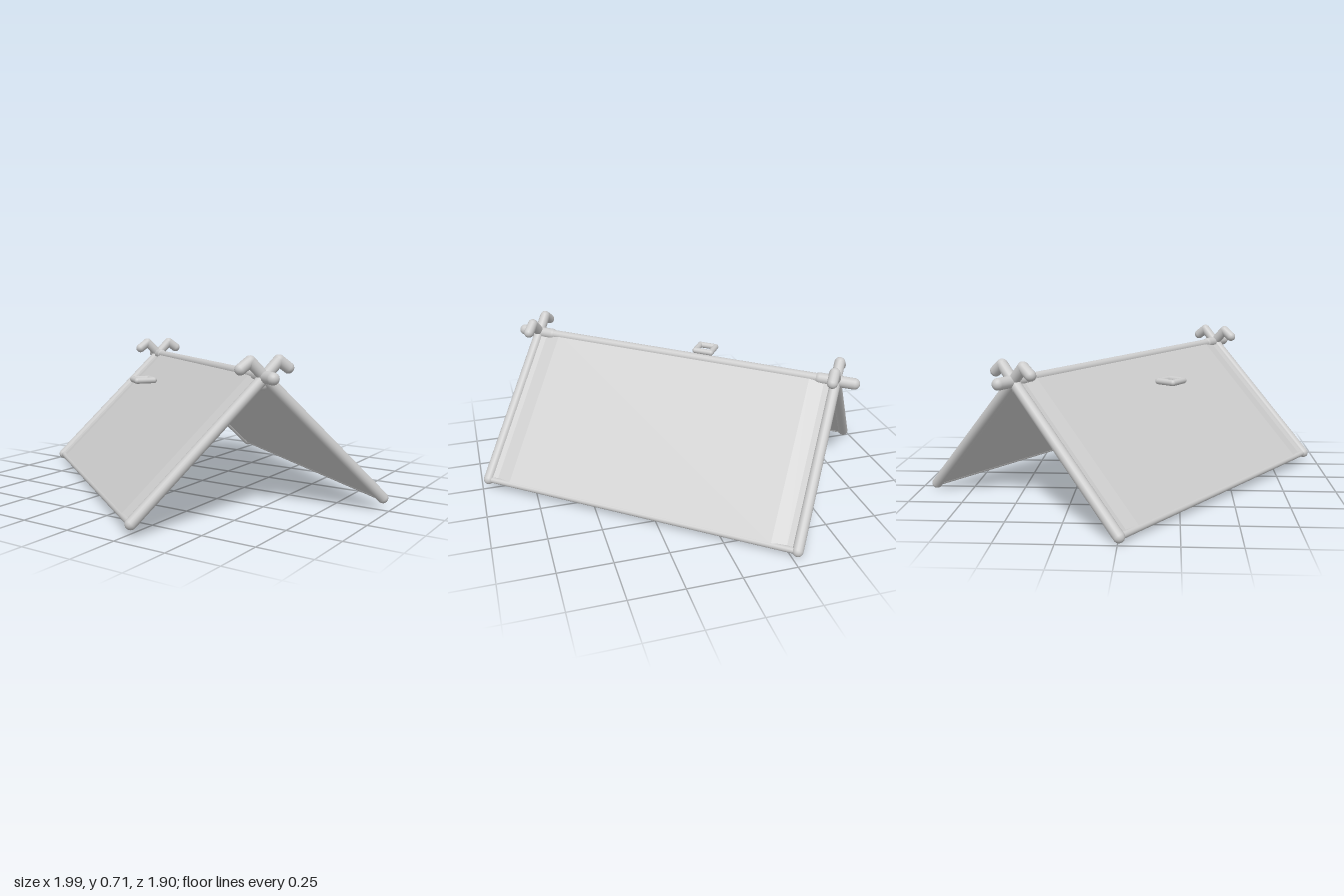
import * as THREE from 'three';

const material = new THREE.MeshStandardMaterial({ color: 0xcccccc, side: THREE.DoubleSide });

const HALF_LENGTH = 0.775, HALF_WIDTH = 0.58, RIDGE_Y = 0.608, FOOT_Y = 0.043;

// Round-ended rod following straight segments through the given points
function rod(name, points, radius) {
  const group = new THREE.Group();
  group.name = name;
  const pts = points.map(p => new THREE.Vector3(...p));
  for (let i = 0; i < pts.length - 1; i++) {
    const dir = pts[i + 1].clone().sub(pts[i]);
    const mesh = new THREE.Mesh(new THREE.CapsuleGeometry(radius, dir.length(), 6, 16), material);
    mesh.name = name + 'Segment';
    mesh.position.copy(pts[i]).addScaledVector(dir, 0.5);
    mesh.quaternion.setFromUnitVectors(new THREE.Vector3(0, 1, 0), dir.normalize());
    group.add(mesh);
  }
  return group;
}

// Sloping cloth panel: a thin section, sunk a little beside the poles, swept down the slope
function panel() {
  const e = HALF_LENGTH, s = new THREE.Shape();
  s.moveTo(-e, -0.012);
  [[e, -0.012], [e, 0.012], [e - 0.05, 0.006], [e - 0.12, 0.014],
    [-e + 0.12, 0.014], [-e + 0.05, 0.006], [-e, 0.012]].forEach(p => s.lineTo(...p));
  s.closePath();
  const drop = RIDGE_Y - FOOT_Y;
  const geo = new THREE.ExtrudeGeometry(s, { depth: Math.hypot(drop, HALF_WIDTH), bevelEnabled: false });
  geo.rotateX(Math.atan2(drop, HALF_WIDTH));
  geo.translate(0, RIDGE_Y, 0);
  const mesh = new THREE.Mesh(geo, material);
  mesh.name = 'clothPanel';
  return mesh;
}

export function createModel() {
  const model = new THREE.Group();
  model.name = 'tent';
  const tent = new THREE.Group();
  tent.name = 'tentFrame';
  // The tent stands diagonally, with its ridge rising slightly to one end
  tent.rotation.set(0, -0.637, 0.02);
  model.add(tent);

  // Two matching sides, each with a panel, a hem and two hooked poles
  for (const side of [1, -1]) {
    const half = new THREE.Group();
    half.name = side > 0 ? 'frontSide' : 'backSide';
    if (side < 0) half.rotation.y = Math.PI;
    half.add(panel());
    half.add(rod('bottomHem', [[-HALF_LENGTH, FOOT_Y, HALF_WIDTH], [HALF_LENGTH, FOOT_Y, HALF_WIDTH]], 0.015));
    for (const end of [1, -1]) {
      const x = end * HALF_LENGTH;
      half.add(rod('hookedPole', [[x, FOOT_Y, HALF_WIDTH], [x, RIDGE_Y, 0],
        [x, 0.675, -0.065], [x, 0.643, -0.108]], 0.025));
    }
    tent.add(half);
  }

  // Ridge bar with thicker ends reaching past the poles
  tent.add(rod('ridgeBar', [[-HALF_LENGTH, RIDGE_Y, 0], [HALF_LENGTH, RIDGE_Y, 0]], 0.022));
  for (const end of [1, -1]) {
    tent.add(rod('ridgeEnd', [[end * 0.7, RIDGE_Y, 0], [end * 0.86, RIDGE_Y, 0]], 0.027));
    tent.add(rod('crossingKnot', [[end * 0.765, RIDGE_Y, 0], [end * 0.755, 0.575, 0]], 0.026));
  }

  // Small square ring hovering above the front slope
  const cx = -0.043, cz = 0.294, h = 0.042, y = 0.532;
  tent.add(rod('squareRing', [[cx - h, y, cz - h], [cx + h, y, cz - h],
    [cx + h, y, cz + h], [cx - h, y, cz + h], [cx - h, y, cz - h]], 0.015));

  // Rest on the ground
  const box = new THREE.Box3().setFromObject(model, true);
  tent.position.y = -box.min.y;
  return model;
}
